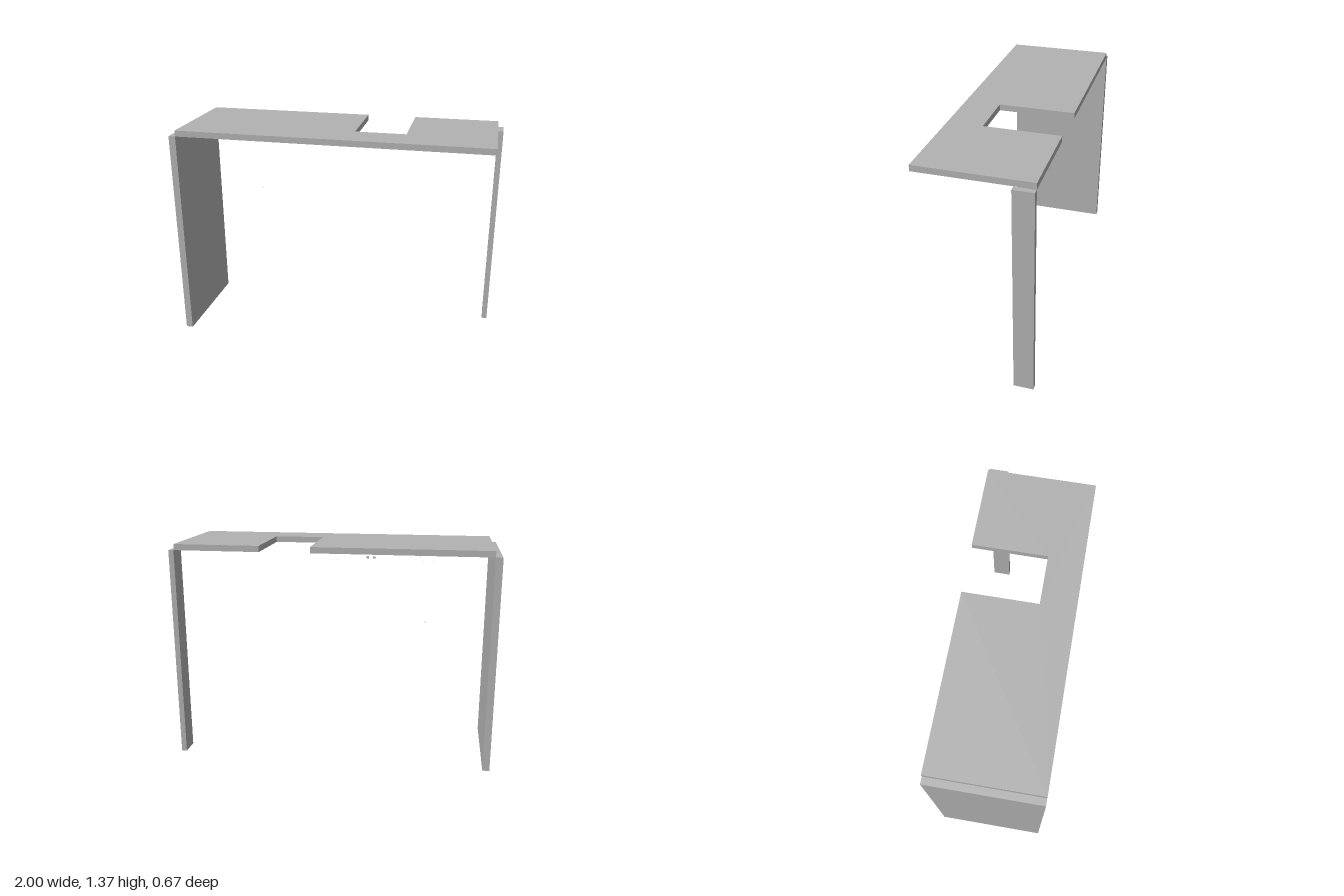
import * as THREE from 'three';

export function createModel() {
  const model = new THREE.Group();
  const grey = new THREE.MeshStandardMaterial({ color: 0xb2b2b2 });
  grey.name = 'plain grey';

  function box(name, [x0, x1], [y0, y1], [z0, z1]) {
    const mesh = new THREE.Mesh(new THREE.BoxGeometry(x1 - x0, y1 - y0, z1 - z0), grey);
    mesh.position.set((x0 + x1) / 2, (y0 + y1) / 2, (z0 + z1) / 2);
    mesh.name = name;
    model.add(mesh);
  }

  const back = -0.336, front = 0.336, underside = 1.333, topHeight = 1.37;

  // Worktop outline in x and z, with a rectangular notch in the back edge
  const outline = new THREE.Shape([
    [-0.957, front], [-0.957, back], [0.12, back], [0.12, 0.122],
    [0.432, 0.122], [0.432, back], [0.965, back], [0.965, front],
  ].map(([x, z]) => new THREE.Vector2(x, z)));
  const slab = new THREE.ExtrudeGeometry(outline, { depth: topHeight - underside, bevelEnabled: false });
  slab.rotateX(Math.PI / 2);
  const worktop = new THREE.Mesh(slab, grey);
  worktop.position.y = topHeight;
  worktop.name = 'worktop';
  model.add(worktop);

  // Full-depth end panel and narrow back leg
  box('endPanel', [-1, -0.957], [0, underside], [back, front]);
  box('backLeg', [0.967, 1], [0, underside], [back, -0.216]);

  // Tiny loose fittings under the worktop: x, y, z, size
  [
    [-0.24, 1.283, -0.12, 0.014], [-0.2, 1.283, -0.12, 0.014],
    [-0.605, 1.267, -0.15, 0.004], [-0.545, 1.267, -0.12, 0.004],
    [-0.52, 1.285, -0.07, 0.004], [-0.01, 1.267, -0.12, 0.004],
    [-0.565, 0.885, -0.12, 0.004],
  ].forEach(([x, y, z, s]) =>
    box('fitting', [x - s / 2, x + s / 2], [y - s / 2, y + s / 2], [z - 0.002, z + 0.002]));

  return model;
}
